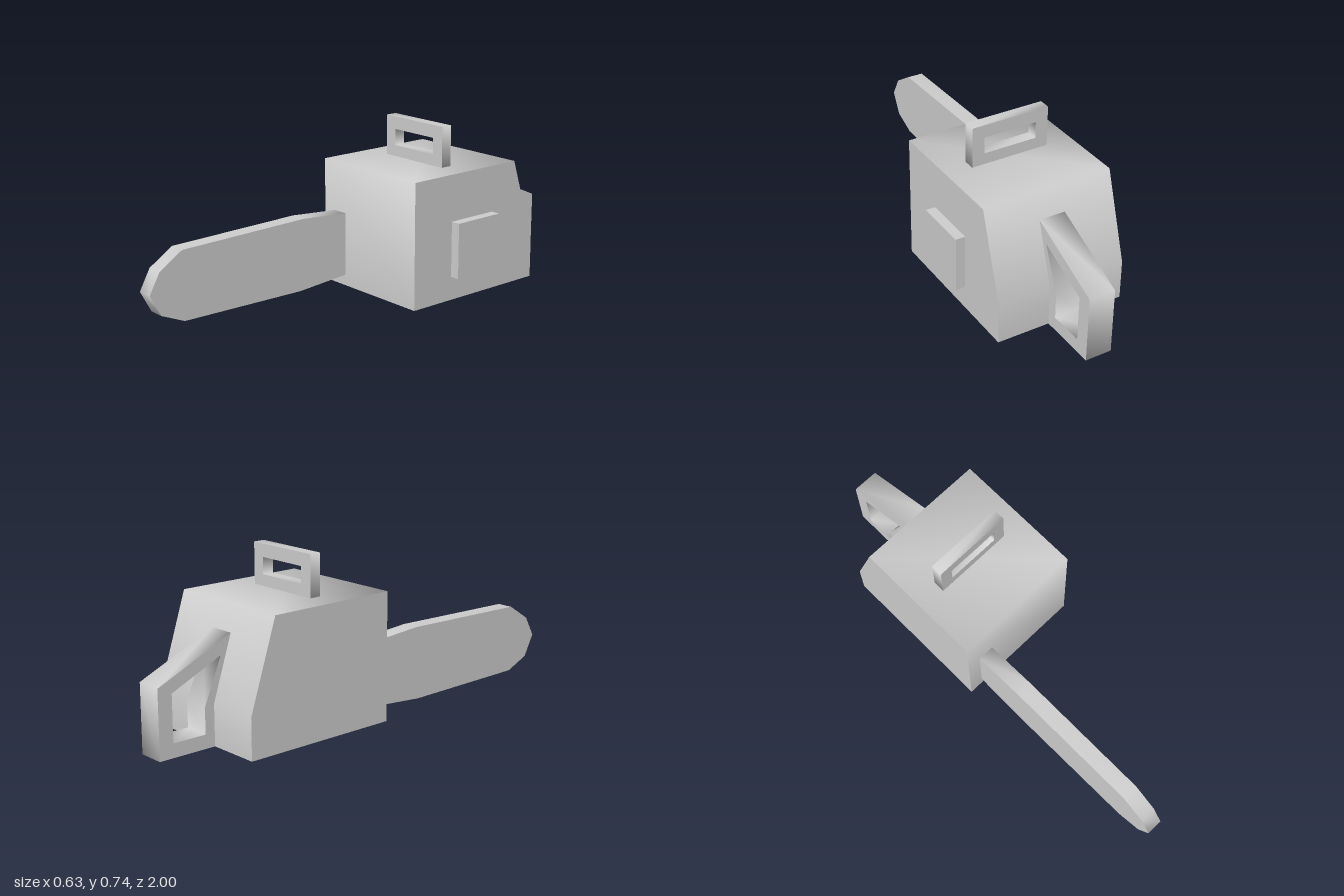
import * as THREE from 'three';
import { mergeGeometries } from 'three/addons/utils/BufferGeometryUtils.js';

const vectors = (pts) => pts.map(([u, v]) => new THREE.Vector2(u, v));

// Orders a loop of points; the closing segment stays between last and first.
function ordered(pts, clockwise) {
  return THREE.ShapeUtils.isClockWise(pts) === clockwise ? pts : pts.slice().reverse();
}

// Band of wall along a profile, with normals smoothed from segment to segment.
function wall(pts, depth, closed) {
  const position = [], index = [], n = pts.length;
  pts.forEach((p) => position.push(p.x, p.y, 0, p.x, p.y, depth));
  for (let i = 0; i < (closed ? n : n - 1); i++) {
    const a = 2 * i, b = 2 * ((i + 1) % n);
    index.push(a, b, b + 1, a, b + 1, a + 1);
  }
  const g = new THREE.BufferGeometry();
  g.setAttribute('position', new THREE.Float32BufferAttribute(position, 3));
  g.setIndex(index);
  g.computeVertexNormals();
  return g.toNonIndexed();
}

// Plate with flat faces and smooth rims; flatBase keeps the closing segment crisp.
function plate(outline, depth, { hole = null, flatBase = false } = {}) {
  const outer = ordered(vectors(outline), false);
  const shape = new THREE.Shape(outer);
  const parts = [wall(outer, depth, !flatBase)];
  if (flatBase) parts.push(wall([outer[outer.length - 1], outer[0]], depth, false));
  if (hole) {
    const inner = ordered(vectors(hole), true);
    shape.holes.push(new THREE.Path(inner));
    parts.push(wall(inner, depth, true));
  }
  // Both faces are the first group of the extrusion
  const solid = new THREE.ExtrudeGeometry(shape, { depth, bevelEnabled: false });
  const faces = new THREE.BufferGeometry();
  const count = solid.groups[0].count * 3;
  faces.setAttribute('position',
    new THREE.Float32BufferAttribute(solid.attributes.position.array.slice(0, count), 3));
  faces.computeVertexNormals();
  parts.push(faces);
  return mergeGeometries(parts);
}

// Plate drawn as (z, y) points, spanning x0 to x1.
function sidePlate(outline, x0, x1, { hole = null, flatBase = false } = {}) {
  const flip = (pts) => pts && pts.map(([z, y]) => [-z, y]);
  return plate(flip(outline), x1 - x0, { hole: flip(hole), flatBase })
    .rotateY(Math.PI / 2).translate(x0, 0, 0);
}

const rectangle = (x0, y0, x1, y1) => [[x0, y0], [x1, y0], [x1, y1], [x0, y1]];

export function createModel() {
  const model = new THREE.Group();
  model.name = 'chainsaw';
  const grey = new THREE.MeshStandardMaterial({ color: 0xcccccc });
  grey.name = 'light grey';
  const add = (name, geometry) => {
    const mesh = new THREE.Mesh(geometry, grey);
    mesh.name = name;
    model.add(mesh);
    return mesh;
  };

  // Motor housing with a sloping back
  add('motorHousing', sidePlate(
    [[-0.015, 0], [-0.015, 0.56], [-0.61, 0.56], [-0.735, 0.178], [-0.735, 0]],
    -0.317, 0.272, { flatBase: true }));

  // Guide bar with a blunt pointed tip
  add('guideBar', sidePlate(
    [[-0.015, 0.05], [0.24, 0.03], [0.84, 0.037], [0.95, 0.085], [1, 0.18],
      [0.95, 0.27], [0.84, 0.34], [0.22, 0.353], [-0.015, 0.335]],
    -0.252, -0.179));

  // Rear grip loop following the back of the housing
  add('rearHandle', sidePlate(
    [[-0.735, 0], [-1, 0], [-1, 0.295], [-0.644, 0.452], [-0.735, 0.178]],
    -0.083, 0.035,
    { hole: [[-0.78, 0.06], [-0.935, 0.06], [-0.935, 0.262], [-0.697, 0.37], [-0.78, 0.172]] }));

  // Upright carrying handle on top
  add('topHandle', plate(rectangle(-0.2, 0.56, 0.155, 0.74), 0.052,
    { hole: rectangle(-0.143, 0.61, 0.098, 0.683) })).position.z = -0.331;

  // Square cover on the left side
  add('sideCover', new THREE.BoxGeometry(0.043, 0.248, 0.245))
    .position.set(0.2935, 0.229, -0.353);

  return model;
}
